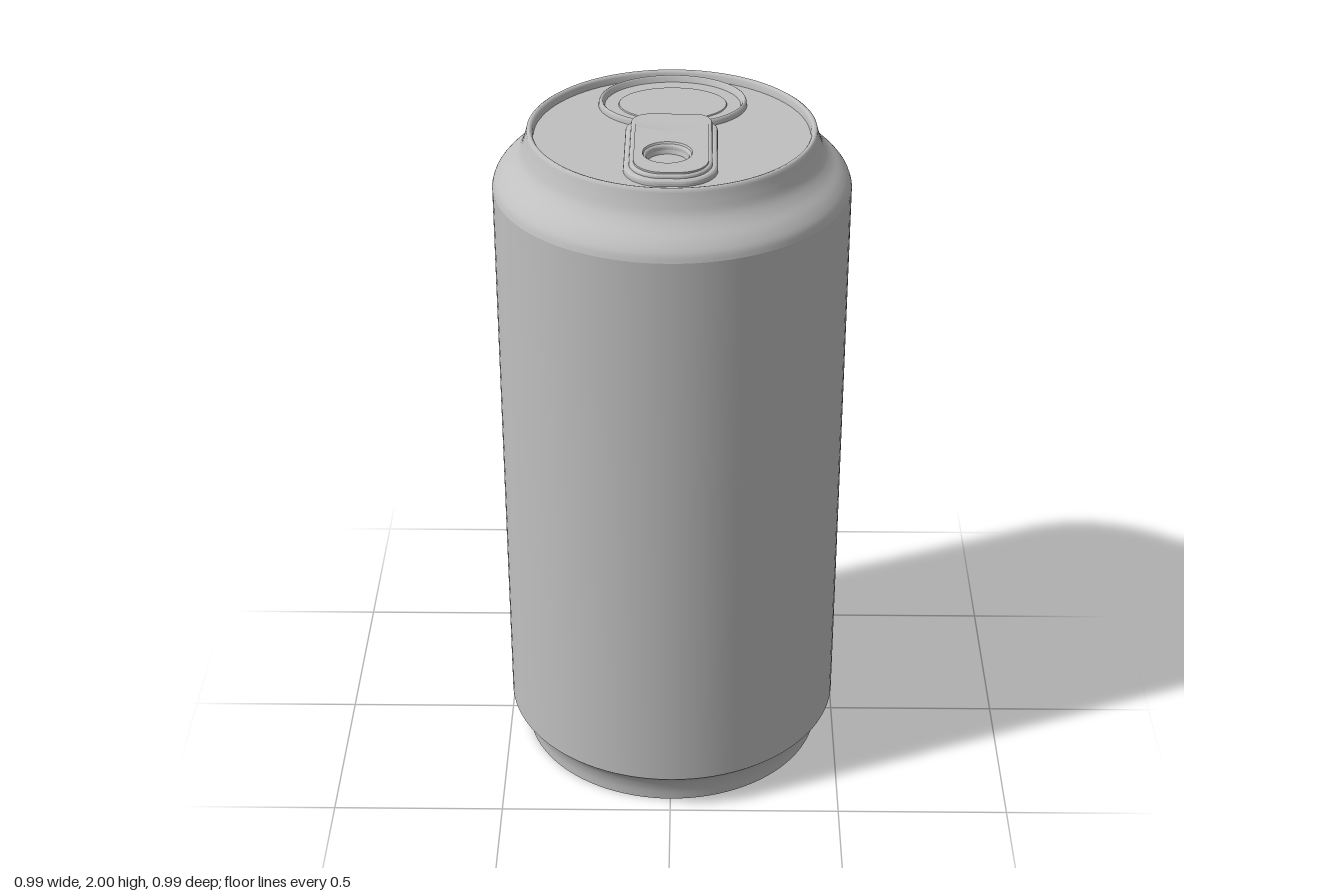
import * as THREE from 'three';

const metal = new THREE.MeshStandardMaterial({ color: 0xc0c0c0 });
metal.name = 'metal';
metal.side = THREE.DoubleSide;

const LID = 1.967; // height of the recessed lid panel
const TAB = 1.995; // height of the tab nose

function add(parent, name, geometry) {
  const mesh = new THREE.Mesh(geometry, metal);
  mesh.name = name;
  parent.add(mesh);
  return mesh;
}

// Revolved section; smooth ones run a spline through the points
function turned(points, smooth = false, segments = 96) {
  let pts = points.map(([r, y]) => new THREE.Vector2(r, y));
  if (smooth) pts = new THREE.SplineCurve(pts).getPoints(points.length * 5);
  return new THREE.LatheGeometry(pts, segments);
}

function roundedRect(x0, x1, z0, z1, rBack, rFront) {
  const s = new THREE.Shape(); // shape y is -z
  s.moveTo(x0 + rFront, -z1);
  s.lineTo(x1 - rFront, -z1);
  s.absarc(x1 - rFront, -z1 + rFront, rFront, -Math.PI / 2, 0, false);
  s.lineTo(x1, -z0 - rBack);
  s.absarc(x1 - rBack, -z0 - rBack, rBack, 0, Math.PI / 2, false);
  s.lineTo(x0 + rBack, -z0);
  s.absarc(x0 + rBack, -z0 - rBack, rBack, Math.PI / 2, Math.PI, false);
  s.lineTo(x0, -z1 + rFront);
  s.absarc(x0 + rFront, -z1 + rFront, rFront, Math.PI, Math.PI * 1.5, false);
  return s;
}

function circleHole(x, z, r) {
  const p = new THREE.Path();
  p.absarc(x, -z, r, 0, Math.PI * 2, true);
  return p;
}

// Extrude upwards from y0 to y1
function slab(shape, y0, y1, bevel = 0) {
  const g = new THREE.ExtrudeGeometry(shape, {
    depth: y1 - y0 - bevel, curveSegments: 24, bevelEnabled: bevel > 0,
    bevelThickness: bevel, bevelSize: bevel, bevelOffset: -bevel, bevelSegments: 3,
  });
  return g.rotateX(-Math.PI / 2).translate(0, y0, 0);
}

export function createModel() {
  const can = new THREE.Group();
  can.name = 'drinkCan';

  // Body of revolution, split at its sharp edges
  add(can, 'bottomDome', turned([[0, 0.055], [0.36, 0.055], [0.4, 0.05], [0.425, 0.035], [0.44, 0.015], [0.447, 0]]));
  add(can, 'foot', turned([[0.447, 0], [0.451, 0.04], [0.466, 0.08], [0.496, 0.113]], true));
  add(can, 'wall', turned([[0.496, 0.113], [0.496, 1.825]]));
  add(can, 'shoulder', turned([[0.496, 1.825], [0.488, 1.848], [0.468, 1.873], [0.438, 1.9],
    [0.418, 1.925], [0.406, 1.955], [0.399, 1.978]], true));
  add(can, 'rim', turned([[0.399, 1.978], [0.397, 1.987], [0.391, 1.991], [0.385, 1.989], [0.381, 1.983], [0.379, LID]]));
  add(can, 'lid', turned([[0.379, LID], [0, LID]]));

  // Oval bead around the mouth, with a thin panel inside it
  const mouth = new THREE.Group();
  mouth.name = 'mouth';
  mouth.position.set(0, LID, -0.2);
  can.add(mouth);
  add(mouth, 'mouthBead', turned([[0.208, 0], [0.207, 0.01], [0.204, 0.016], [0.2, 0.018], [0.196, 0.014], [0.19, 0]])
    .scale(1, 1, 0.82));
  add(mouth, 'mouthPanel', new THREE.CylinderGeometry(0.15, 0.152, 0.003, 64).scale(1, 1, 0.733).translate(0, 0.0015, 0));

  // Pull tab: flange, bevelled body, raised grip and the ramp leading up to it
  const tab = new THREE.Group();
  tab.name = 'pullTab';
  can.add(tab);
  const hole = [-0.01, 0.19];

  const flange = roundedRect(-0.127, 0.125, -0.065, 0.332, 0.06, 0.1);
  flange.holes.push(circleHole(...hole, 0.058));
  add(tab, 'tabFlange', slab(flange, LID - 0.004, LID + 0.018, 0.01));

  const body = roundedRect(-0.112, 0.11, -0.077, 0.322, 0.05, 0.09);
  body.holes.push(circleHole(...hole, 0.057));
  add(tab, 'tabBody', slab(body, LID, TAB, 0.007));

  const arcZ = (x) => 0.054 - 0.034 * (x / 0.1) ** 2;
  const grip = new THREE.Shape();
  grip.moveTo(-0.1, -0.235);
  grip.absarc(-0.02, -0.235, 0.08, Math.PI, Math.PI * 1.5, false);
  grip.absarc(0.02, -0.235, 0.08, -Math.PI / 2, 0, false);
  for (let i = 0; i <= 16; i++) {
    const x = 0.1 - i * 0.0125;
    grip.lineTo(x, -arcZ(x));
  }
  grip.holes.push(circleHole(...hole, 0.067));
  add(tab, 'tabGrip', slab(grip, TAB - 0.001, 2));

  // Curved ramp between nose and grip
  const ramp = new THREE.PlaneGeometry(0.2, 1, 16, 6).rotateX(-Math.PI / 2);
  const p = ramp.attributes.position;
  for (let i = 0; i < p.count; i++) {
    const x = p.getX(i), t = p.getZ(i) + 0.5;
    p.setXYZ(i, x, TAB + 0.005 * t * t, THREE.MathUtils.lerp(-0.025, arcZ(x), t));
  }
  ramp.computeVertexNormals();
  add(tab, 'tabRamp', ramp);

  // Sloping collar of the finger hole
  const collar = add(tab, 'holeCollar', turned([[0.055, LID + 0.002], [0.058, 1.985], [0.067, 2]], false, 48));
  collar.position.set(hole[0], 0, hole[1]);
  add(tab, 'holeFloor', new THREE.CircleGeometry(0.056, 48).rotateX(-Math.PI / 2).translate(hole[0], LID + 0.002, hole[1]));

  return can;
}
